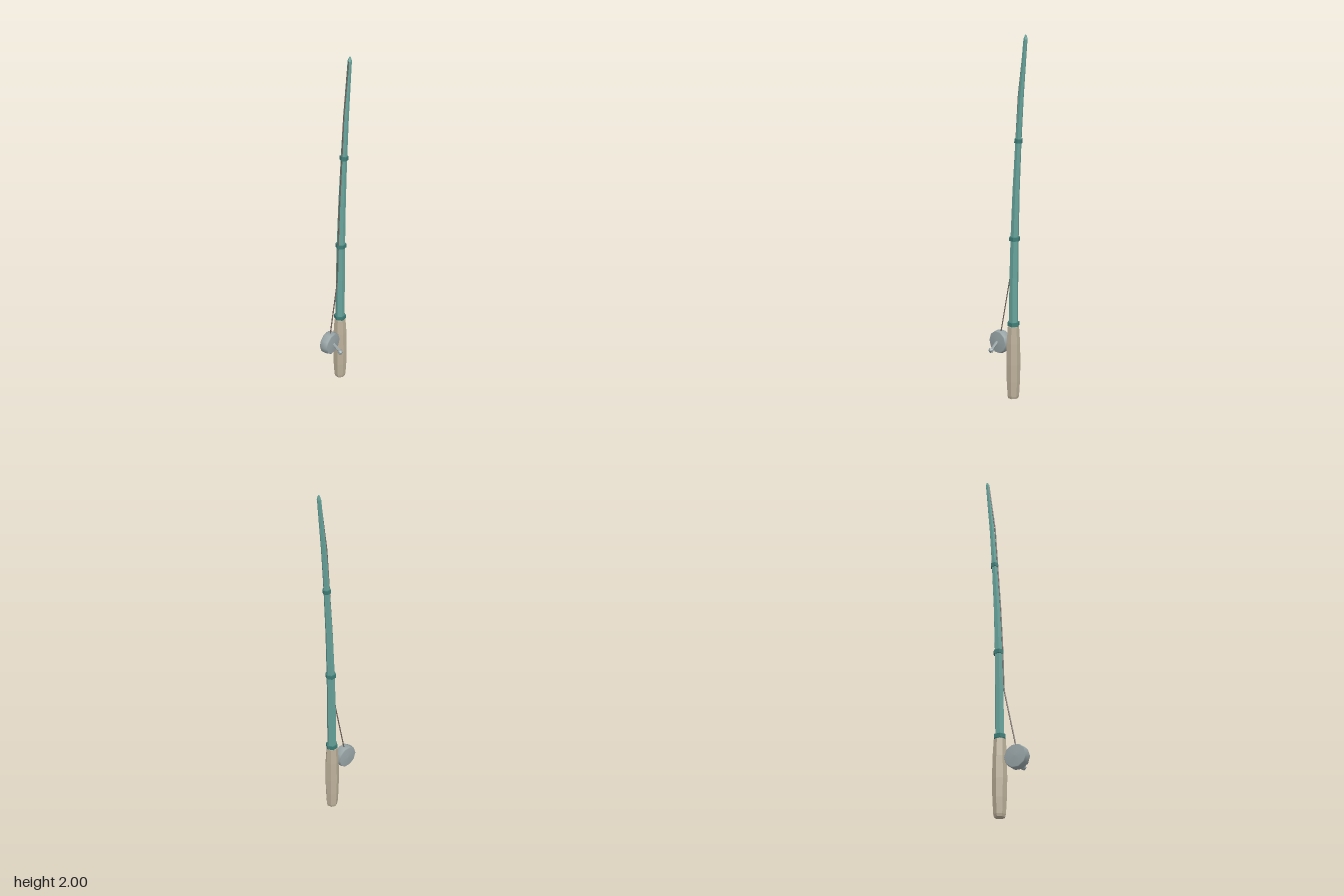
import * as THREE from 'three';

const X = -0.025;
const mat = (color, flatShading = true) => new THREE.MeshStandardMaterial({ color, flatShading });

// Rod centre line: [y, z, radius]
const ROD = [
  [0.41, -0.034, 0.026], [0.69, -0.037, 0.025], [0.91, -0.042, 0.023], [1.18, -0.053, 0.02],
  [1.44, -0.069, 0.017], [1.68, -0.087, 0.015], [1.98, -0.118, 0.011],
];

function rodAt(y) {
  let i = 0;
  while (i < ROD.length - 2 && y > ROD[i + 1][0]) i++;
  const [a, b] = [ROD[i], ROD[i + 1]];
  const t = (y - a[0]) / (b[0] - a[0]);
  return { z: a[1] + (b[1] - a[1]) * t, r: a[2] + (b[2] - a[2]) * t, slope: (b[1] - a[1]) / (b[0] - a[0]) };
}

export function createModel() {
  const model = new THREE.Group();
  const add = (name, geometry, material, x = 0, y = 0, z = 0) => {
    const mesh = new THREE.Mesh(geometry, material);
    mesh.name = name;
    mesh.position.set(x, y, z);
    model.add(mesh);
    return mesh;
  };
  const teal = mat(0x67a39b), darkTeal = mat(0x3f7d77), cork = mat(0xbcb09a);
  const metal = mat(0x98a4a6), lineMat = mat(0x6e625a);

  // Seven-sided grip, narrowed at both ends
  const grip = [[0, 0], [0.029, 0], [0.033, 0.015], [0.038, 0.1], [0.04, 0.2],
    [0.038, 0.32], [0.032, 0.415], [0, 0.415]].map(p => new THREE.Vector2(...p));
  add('handle', new THREE.LatheGeometry(grip, 7, -Math.PI / 2), cork, X, 0, -0.033);

  // Six-sided tapering rod, its rows moved onto the bent centre line
  const rod = new THREE.CylinderGeometry(1, 1, 1, 6, ROD.length - 1);
  const pos = rod.attributes.position;
  for (let i = 0; i < pos.count; i++) {
    const row = Math.round((pos.getY(i) + 0.5) * (ROD.length - 1));
    const [y, z, r] = ROD[row];
    pos.setXYZ(i, pos.getX(i) * r, y, pos.getZ(i) * r + z);
  }
  rod.computeVertexNormals();
  add('rod', rod, teal, X);

  // Pointed tip
  const tip = add('rodTip', new THREE.CylinderGeometry(0.004, 0.012, 0.022, 6), teal, X, 1.989, -0.119);
  tip.rotation.x = Math.atan(rodAt(1.95).slope);

  // Joint rings
  for (const [y, extra] of [[0.43, 0.008], [0.91, 0.007], [1.445, 0.006]]) {
    const { z, r, slope } = rodAt(y);
    const ring = add('jointRing', new THREE.CylinderGeometry(r + extra, r + extra, 0.022, 6), darkTeal, X, y, z);
    ring.rotation.x = Math.atan(slope);
  }

  // Reel drum lying across the rod, rim slightly rounded
  const drum = [[0, -0.029], [0.06, -0.026], [0.0635, -0.022], [0.066, 0],
    [0.0635, 0.022], [0.06, 0.026], [0, 0.029]].map(p => new THREE.Vector2(...p));
  const reel = add('reel', new THREE.LatheGeometry(drum, 10), mat(0x98a4a6, false), X, 0.305, 0.067);
  reel.rotation.z = Math.PI / 2;

  // Crank arm and knob
  const start = new THREE.Vector3(0, 0.308, 0.067), end = new THREE.Vector3(0.046, 0.27, 0.067);
  const dir = end.clone().sub(start);
  const arm = add('crankArm', new THREE.CylinderGeometry(0.008, 0.008, dir.length(), 6), metal);
  arm.position.copy(start).lerp(end, 0.5);
  arm.quaternion.setFromUnitVectors(new THREE.Vector3(0, 1, 0), dir.normalize());
  add('crankKnob', new THREE.IcosahedronGeometry(0.0165, 0), metal, 0.047, 0.27, 0.067);

  // Line from the reel, along the front of the rod to the tip
  const path = new THREE.CurvePath();
  const points = [[0.36, 0.062], [0.69, -0.009], [0.92, -0.017], [1.18, -0.031],
    [1.44, -0.05], [1.68, -0.067], [1.98, -0.11]].map(([y, z]) => new THREE.Vector3(X, y, z));
  for (let i = 1; i < points.length; i++) path.add(new THREE.LineCurve3(points[i - 1], points[i]));
  add('line', new THREE.TubeGeometry(path, 60, 0.004, 4), lineMat);

  return model;
}
